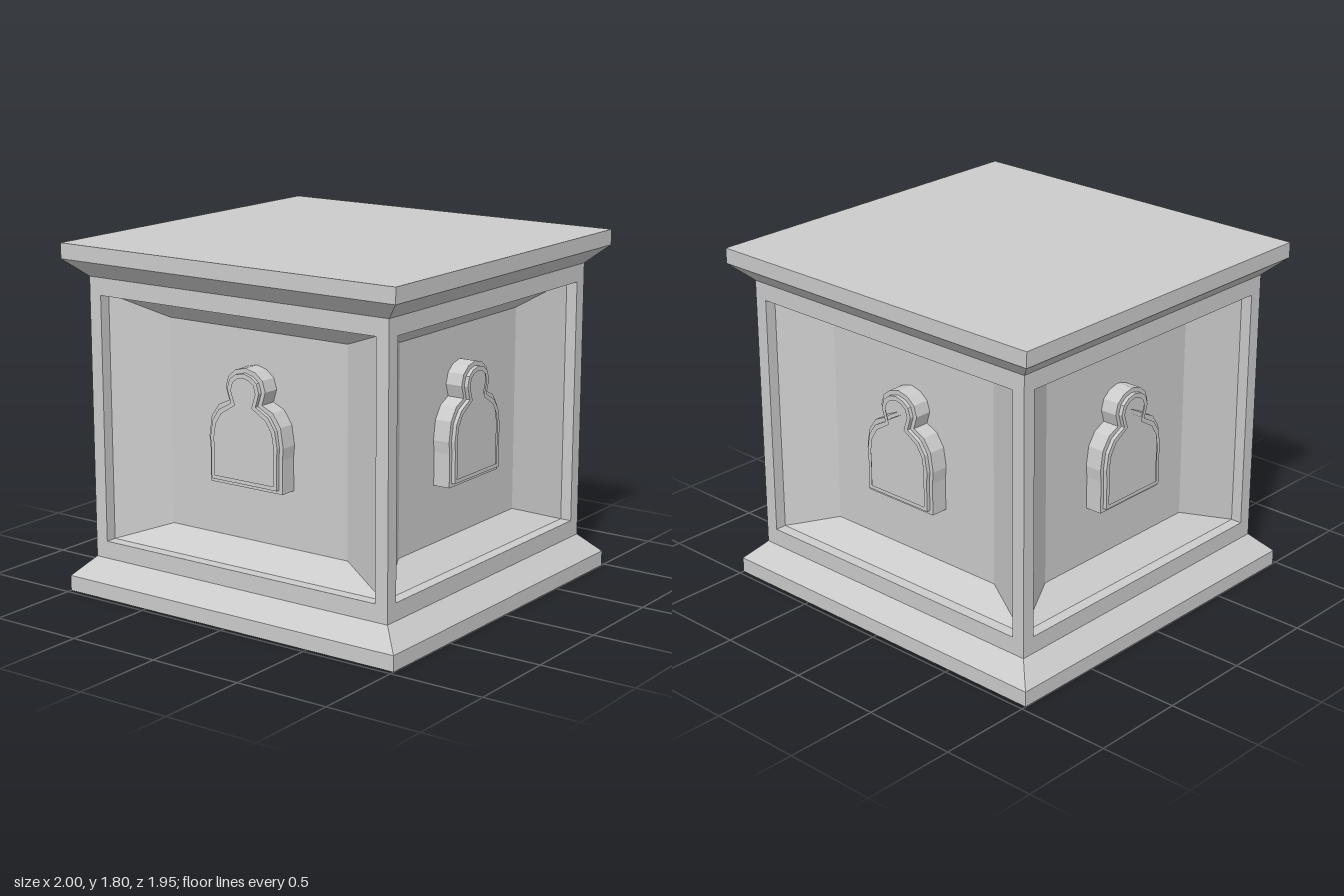
import * as THREE from 'three';

const material = new THREE.MeshStandardMaterial({ color: 0xcccccc, flatShading: true });

// Skin a series of rectangles [halfWidth, bottom, top, z], closed at the last (and optionally first) one
function rectLoft(rings, capStart) {
  const pos = [];
  const corners = ([w, lo, hi, z]) => [[-w, lo, z], [w, lo, z], [w, hi, z], [-w, hi, z]];
  const quad = (a, b, c, d) => pos.push(...a, ...b, ...c, ...a, ...c, ...d);
  const loops = rings.map(corners);
  for (let r = 0; r < loops.length - 1; r++) {
    const a = loops[r], b = loops[r + 1];
    for (let i = 0; i < 4; i++) {
      const j = (i + 1) % 4;
      quad(a[i], a[j], b[j], b[i]);
    }
  }
  quad(...loops[loops.length - 1]);
  if (capStart) quad(...[...loops[0]].reverse());
  const g = new THREE.BufferGeometry();
  g.setAttribute('position', new THREE.Float32BufferAttribute(pos, 3));
  g.computeVertexNormals();
  return g;
}

function addMesh(parent, name, geometry) {
  const mesh = new THREE.Mesh(geometry, material);
  mesh.name = name;
  parent.add(mesh);
  return mesh;
}

// Horizontal slab with a sloped edge; levels are [halfWidth, halfDepth, y]
function slab(levels) {
  const g = rectLoft(levels.map(([w, d, y]) => [w, -d, d, y]), true);
  return g.rotateX(-Math.PI / 2);
}

// Left halves of the arched outline, bottom to top centre
const outerHalf = [[-0.22, 0.67], [-0.22, 0.84], [-0.226, 0.9], [-0.21, 1.0], [-0.165, 1.065],
  [-0.1, 1.095], [-0.12, 1.16], [-0.103, 1.215], [-0.06, 1.25], [0, 1.265]];
const innerHalf = [[-0.18, 0.71], [-0.18, 0.85], [-0.182, 0.9], [-0.17, 0.97], [-0.135, 1.025],
  [-0.05, 1.078], [-0.074, 1.15], [-0.062, 1.19], [-0.036, 1.21], [0, 1.218]];
const middleHalf = outerHalf.map(([x, y], i) => [(x + innerHalf[i][0]) / 2, (y + innerHalf[i][1]) / 2]);

function mirrored(half) {
  const right = half.slice(0, -1).reverse().map(([x, y]) => [-x, y]);
  return [...half, ...right].map(([x, y]) => new THREE.Vector2(x, y));
}

function archRing(outline, opening, depth) {
  const shape = new THREE.Shape(mirrored(outline));
  shape.holes.push(new THREE.Path(mirrored(opening)));
  return new THREE.ExtrudeGeometry(shape, { depth, bevelEnabled: false });
}

// One wall: flat border, short step, sloped reveal, back panel and stepped arch frame
function wall(name, halfWidth, distance) {
  const group = new THREE.Group();
  group.name = name;
  const panelZ = distance - 0.185;
  addMesh(group, 'recessedPanel', rectLoft([
    [halfWidth, 0.18, 1.63, distance],
    [halfWidth - 0.07, 0.27, 1.54, distance],
    [halfWidth - 0.07, 0.27, 1.54, distance - 0.06],
    [halfWidth - 0.36, 0.375, 1.435, panelZ],
  ]));
  addMesh(group, 'archFrameOuter', archRing(outerHalf, middleHalf, 0.09)).position.z = panelZ;
  addMesh(group, 'archFrameInner', archRing(middleHalf, innerHalf, 0.11)).position.z = panelZ;
  return group;
}

export function createModel() {
  const model = new THREE.Group();
  model.name = 'pedestal';

  // Base and cap mouldings
  addMesh(model, 'base', slab([[1, 0.975, 0], [1, 0.975, 0.08], [0.9, 0.88, 0.18]]));
  addMesh(model, 'cornice', slab([[0.9, 0.88, 1.63], [1, 0.975, 1.72], [1, 0.975, 1.8]]));

  // Four panelled walls
  ['frontWall', 'leftWall', 'backWall', 'rightWall'].forEach((name, i) => {
    const w = i % 2 ? wall(name, 0.88, 0.9) : wall(name, 0.9, 0.88);
    w.rotation.y = i * Math.PI / 2;
    model.add(w);
  });
  return model;
}
